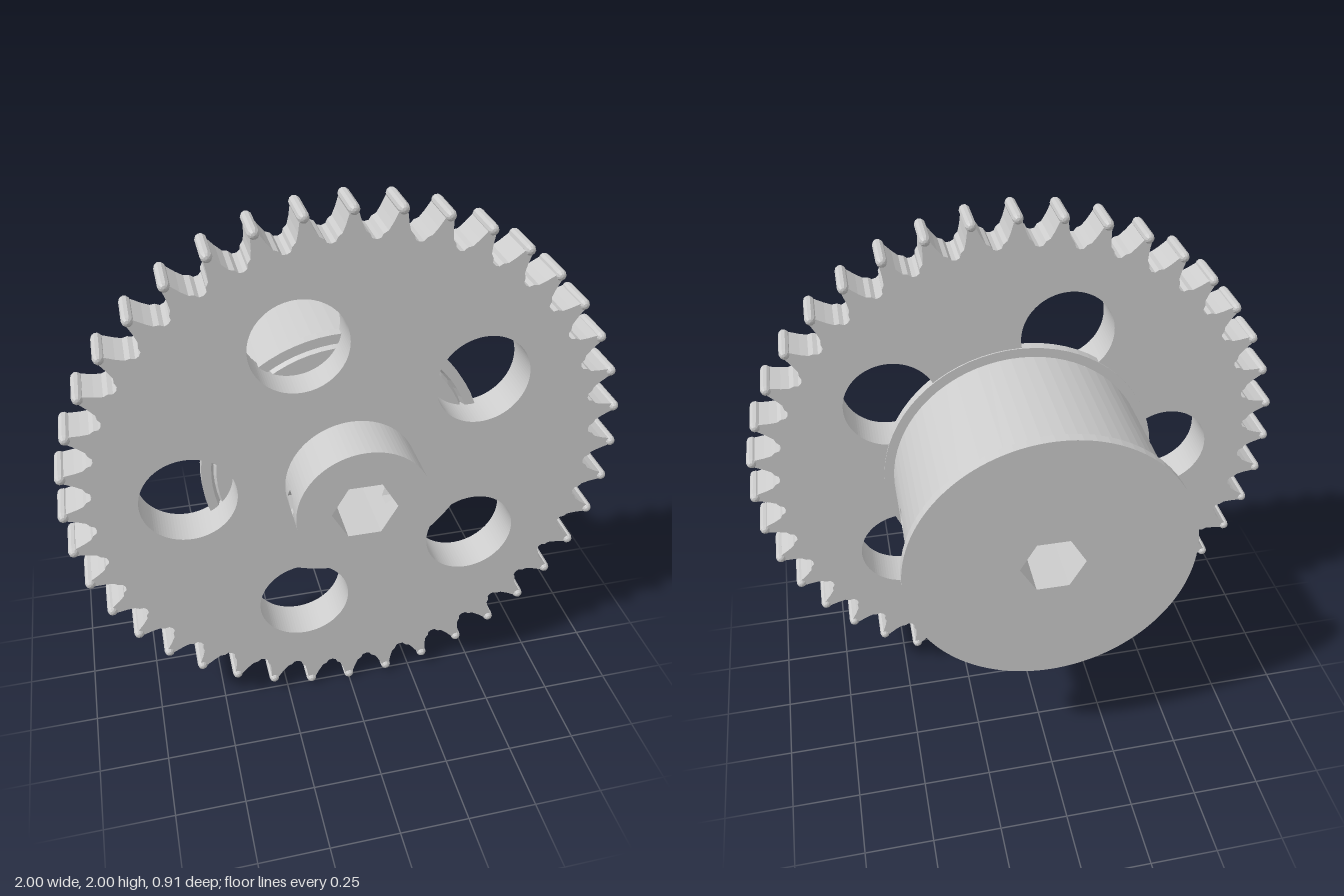
import * as THREE from 'three';

const TAU = Math.PI * 2;
const BORE = 0.115, FLAT = BORE * Math.cos(Math.PI / 6);
const GEAR_BACK = 0.118, GEAR_FRONT = 0.265, END = 0.455;
const HUB_R = 0.235, DRUM_R = 0.475, RIM_R = 0.51;

// Quad surface through a list of point rows
function loft(rows) {
  const n = rows[0].length, index = [];
  for (let r = 0; r < rows.length - 1; r++) {
    for (let i = 0; i < n - 1; i++) {
      const a = r * n + i, b = a + n;
      index.push(a, b + 1, b, a, a + 1, b + 1);
    }
  }
  const g = new THREE.BufferGeometry();
  g.setAttribute('position', new THREE.Float32BufferAttribute(rows.flat(2), 3));
  g.setIndex(index);
  g.computeVertexNormals();
  return g;
}

// Part of an upright round wall, between two angles
function arcWall(radius, z0, z1, a0, a1, steps) {
  return loft([z0, z1].map(z => Array.from({ length: steps + 1 }, (_, i) => {
    const a = a0 + (a1 - a0) * i / steps;
    return [radius * Math.cos(a), radius * Math.sin(a), z];
  })));
}

// Piece of a wall x = f(y), |y| <= h, pierced by a hole of radius rho(angle)
function piercedWall(f, h, z0, z1, zc, rho, inward = false) {
  const dirs = Array.from({ length: 48 }, (_, i) => i * TAU / 48);
  for (const z of [z0, z1]) for (const y of [-h, h]) dirs.push((Math.atan2(y, z - zc) + TAU) % TAU);
  dirs.sort((a, b) => a - b);
  dirs.push(TAU);
  const rows = [0, 0.25, 0.5, 0.75, 1].map(t => dirs.map(p => {
    const s = Math.sin(p), c = Math.cos(p);
    const edge = Math.min(h / Math.max(Math.abs(s), 1e-6),
      (c > 0 ? z1 - zc : zc - z0) / Math.max(Math.abs(c), 1e-6));
    const d = rho(p) + (edge - rho(p)) * t;
    return [f(s * d), s * d, zc + c * d];
  }));
  return loft(inward ? rows.map(r => r.reverse()) : rows);
}

// Outline of a sideways hole where it meets the surface x = f(y)
const rimRow = (f, zc, rho) => Array.from({ length: 49 }, (_, i) => {
  const p = i * TAU / 48, d = rho(p);
  return [f(Math.sin(p) * d), Math.sin(p) * d, zc + Math.cos(p) * d];
});

function hexPath() {
  return new THREE.Path(Array.from({ length: 6 }, (_, i) =>
    new THREE.Vector2(BORE * Math.cos(i * TAU / 6), BORE * Math.sin(i * TAU / 6))));
}

function discWithBore(radius) {
  const s = new THREE.Shape().absarc(0, 0, radius, 0, TAU);
  s.holes.push(hexPath());
  return new THREE.ShapeGeometry(s, 72);
}

const turned = profile => new THREE.LatheGeometry(
  profile.map(([r, z]) => new THREE.Vector2(r, z)), 72).rotateX(Math.PI / 2);

export function createModel() {
  const model = new THREE.Group();
  model.name = 'gearWithDrum';
  const mat = new THREE.MeshStandardMaterial({ color: 0xcccccc, flatShading: true });
  const inner = mat.clone();
  inner.side = THREE.BackSide;

  const part = name => {
    const g = new THREE.Group();
    g.name = name;
    g.position.y = 1;
    model.add(g);
    return g;
  };
  const add = (group, name, geo, m = mat) => {
    const mesh = new THREE.Mesh(geo, m);
    mesh.name = name;
    group.add(mesh);
    return mesh;
  };

  // Toothed plate with five round windows
  const gear = part('gear');
  const tooth = [[-0.5, 0.884], [-0.4, 0.888], [-0.35, 0.902], [-0.25, 0.912], [-0.17, 0.938],
    [-0.09, 0.975], [0.09, 0.975], [0.17, 0.938], [0.25, 0.912], [0.35, 0.902], [0.4, 0.888]];
  const outline = [];
  const TEETH = 40;
  for (let i = 0; i < TEETH; i++) {
    for (const [u, r] of tooth) {
      const a = (i + u) * TAU / TEETH;
      outline.push(new THREE.Vector2(r * Math.cos(a), r * Math.sin(a)));
    }
  }
  const plate = new THREE.Shape(outline);
  for (let i = 0; i < 5; i++) {
    const a = Math.PI + i * TAU / 5;
    plate.holes.push(new THREE.Path().absarc(0.568 * Math.cos(a), 0.568 * Math.sin(a), 0.168, 0, TAU));
  }
  plate.holes.push(hexPath());
  add(gear, 'toothedPlate', new THREE.ExtrudeGeometry(plate,
    { depth: GEAR_FRONT - GEAR_BACK, bevelEnabled: false, curveSegments: 48 }).translate(0, 0, GEAR_BACK));

  // Rounded rod along every tooth tip
  const rod = new THREE.CapsuleGeometry(0.019, 0.132, 3, 10).rotateX(Math.PI / 2);
  for (let i = 0; i < TEETH; i++) {
    const a = i * TAU / TEETH;
    add(gear, 'toothTip', rod).position.set(0.981 * Math.cos(a), 0.981 * Math.sin(a), 0.192);
  }

  // Front hub with a hexagonal cross hole on both sides
  const hub = part('hub');
  const hubZ = 0.36;
  const hexRho = p => 0.047 * Math.cos(Math.PI / 6) / Math.cos((p % (TAU / 6)) - Math.PI / 6);
  const round = R => y => Math.sqrt(R * R - y * y);
  const boreX = y => BORE - Math.abs(y) / Math.sqrt(3);
  const hubA = Math.asin(FLAT / HUB_R);
  add(hub, 'hubFace', discWithBore(HUB_R).translate(0, 0, END));
  for (const turn of [0, Math.PI]) {
    const side = new THREE.Group();
    side.name = 'hubSide';
    side.rotation.z = turn;
    hub.add(side);
    add(side, 'hubWall', arcWall(HUB_R, GEAR_FRONT, END, hubA, Math.PI - hubA, 28));
    add(side, 'hubPiercedWall', piercedWall(round(HUB_R), FLAT, GEAR_FRONT, END, hubZ, hexRho));
    add(side, 'hubBoreWall', piercedWall(boreX, FLAT, GEAR_FRONT, END, hubZ, hexRho, true));
    add(side, 'hubBoreFlat', loft([GEAR_FRONT, END].map(z => [[-BORE / 2, FLAT, z], [BORE / 2, FLAT, z]])));
    add(side, 'crossHole', loft([rimRow(boreX, hubZ, hexRho), rimRow(round(HUB_R), hubZ, hexRho)]));
  }

  // Rear drum with a countersunk screw hole on its left
  const drum = part('drum');
  const screwZ = -0.13, rearRim = -0.42, frontRim = 0.113;
  const drumA = Math.asin(0.1 / DRUM_R);
  const wide = () => 0.053, narrow = () => 0.036;
  add(drum, 'drumWall', arcWall(DRUM_R, rearRim, frontRim, drumA, TAU - drumA, 68));
  add(drum, 'drumPiercedWall', piercedWall(round(DRUM_R), 0.1, rearRim, frontRim, screwZ, wide));
  add(drum, 'screwHole', loft([rimRow(() => 0.3, screwZ, narrow), rimRow(() => 0.455, screwZ, narrow),
    rimRow(round(DRUM_R), screwZ, wide)]));
  add(drum, 'screwHoleFloor', new THREE.CircleGeometry(0.036, 48).rotateY(Math.PI / 2).translate(0.3, 0, screwZ));

  // Thin rims at both ends of the drum
  add(drum, 'rearRim', turned([[RIM_R, -END], [RIM_R, rearRim], [DRUM_R, rearRim]]));
  add(drum, 'rearFace', discWithBore(RIM_R).rotateY(Math.PI).translate(0, 0, -END));
  add(drum, 'frontRim', turned([[DRUM_R, frontRim], [RIM_R, frontRim], [RIM_R, 0.15], [0.475, 0.15],
    [0.465, 0.13], [0.457, 0.15], [0.3, 0.15]]));

  // Hexagonal bore through the drum
  add(drum, 'bore', new THREE.CylinderGeometry(BORE, BORE, GEAR_BACK + END, 6, 1, true, Math.PI / 2)
    .rotateX(Math.PI / 2).translate(0, 0, (GEAR_BACK - END) / 2), inner);

  return model;
}
